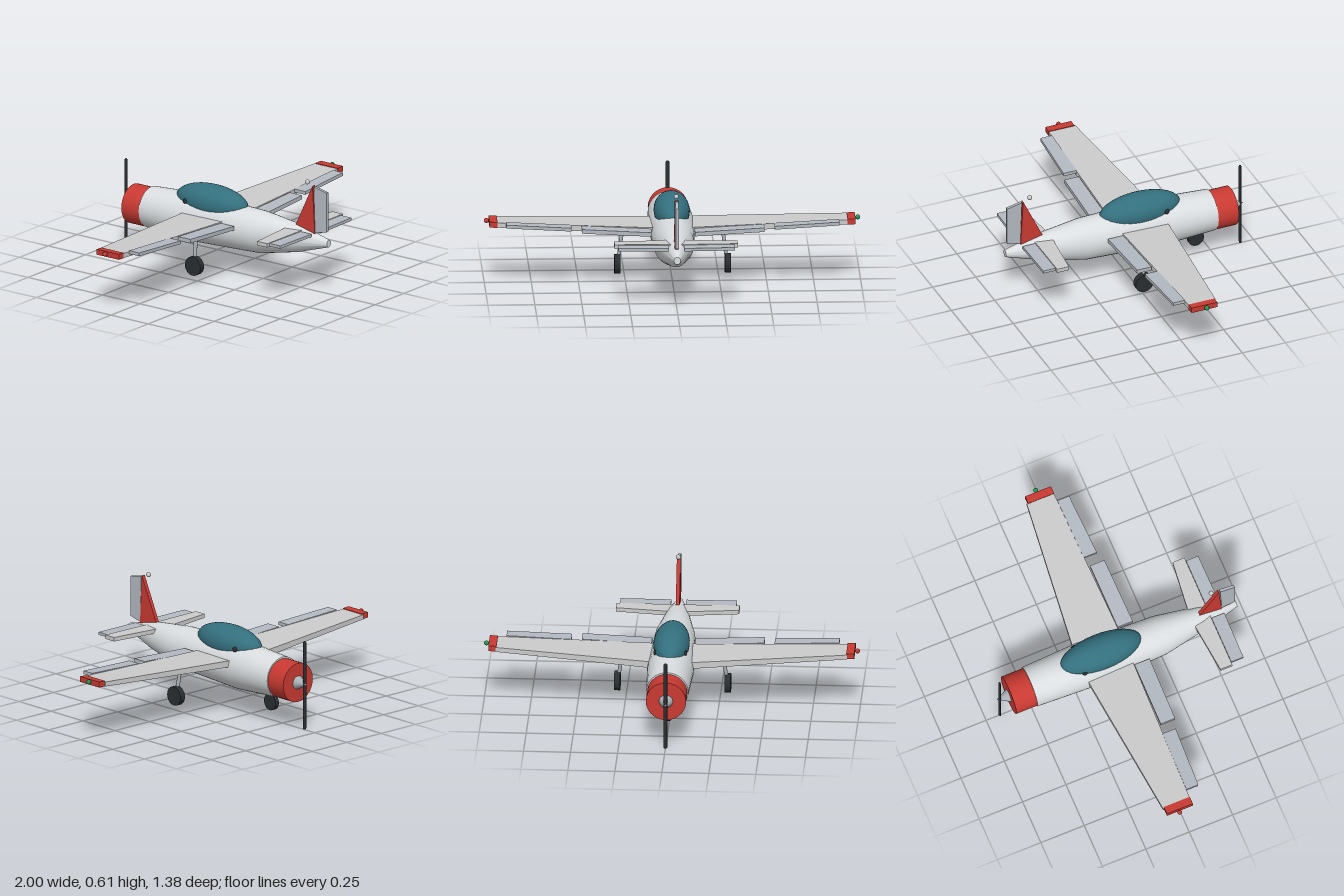
import * as THREE from 'three';
import { toCreasedNormals } from 'three/addons/utils/BufferGeometryUtils.js';

const paint = (color) => new THREE.MeshStandardMaterial({ color });
const MAT = {
  body: paint(0xdadee0), wing: paint(0xcccccc), flap: paint(0xb4bac2), metal: paint(0xa9b0b7),
  red: paint(0xc93a32), dark: paint(0x2a2e31), glass: paint(0x34707f), green: paint(0x1f9a50), white: paint(0xe8e8e8),
};

// Skin a row of closed cross-sections and cap both ends
function loft(rings) {
  const n = rings[0].length, idx = [];
  for (let r = 0; r < rings.length - 1; r++) {
    for (let i = 0; i < n; i++) {
      const a = r * n + i, b = r * n + (i + 1) % n;
      idx.push(a, b, b + n, a, b + n, a + n);
    }
  }
  const last = (rings.length - 1) * n;
  for (let i = 1; i < n - 1; i++) {
    idx.push(0, i + 1, i, last, last + i, last + i + 1);
  }
  const geo = new THREE.BufferGeometry();
  geo.setAttribute('position', new THREE.Float32BufferAttribute(rings.flat(2), 3));
  geo.setIndex(idx);
  return toCreasedNormals(geo, 0.6);
}

// Slab spanning two stations [x, yMid, thickness, zFront, zBack]; side is 1 or -1
function slab(stations, side) {
  return loft(stations.map(([x, y, t, z0, z1]) => {
    const ring = [[y - t / 2, z0], [y + t / 2, z0], [y + t / 2, z1], [y - t / 2, z1]]
      .map(([py, pz]) => [side * x, py, pz]);
    return side < 0 ? ring.reverse() : ring;
  }));
}

// Upright plate from [z, y] outline points
function plate(points, t) {
  const shape = new THREE.Shape(points.map(([z, y]) => new THREE.Vector2(z, y)));
  return new THREE.ExtrudeGeometry(shape, { depth: t, bevelEnabled: false })
    .rotateY(-Math.PI / 2).translate(t / 2, 0, 0);
}

function rod(from, to, radius) {
  const a = new THREE.Vector3(...from), b = new THREE.Vector3(...to), d = b.clone().sub(a);
  const geo = new THREE.CylinderGeometry(radius, radius, d.length(), 12);
  geo.applyQuaternion(new THREE.Quaternion().setFromUnitVectors(new THREE.Vector3(0, 1, 0), d.normalize()));
  const mid = a.add(b).multiplyScalar(0.5);
  return geo.translate(mid.x, mid.y, mid.z);
}

const ball = (r, x, y, z) => new THREE.SphereGeometry(r, 16, 12).translate(x, y, z);
const wheel = (r, w, x, y, z) =>
  new THREE.CylinderGeometry(r, r, w, 28).rotateZ(Math.PI / 2).translate(x, y, z);

export function createModel() {
  const model = new THREE.Group();
  model.name = 'airplane';
  const add = (name, geo, mat) => {
    const mesh = new THREE.Mesh(geo, mat);
    mesh.name = name;
    model.add(mesh);
    return mesh;
  };

  // Fuselage: elliptical sections [z, yCentre, halfWidth, halfHeight]
  const sections = [
    [-0.5, 0.254, 0.112, 0.112], [-0.2, 0.255, 0.124, 0.131], [0.25, 0.259, 0.107, 0.115],
    [0.49, 0.272, 0.064, 0.076], [0.69, 0.28, 0.018, 0.02],
  ];
  add('fuselage', loft(sections.map(([z, y, rx, ry]) =>
    Array.from({ length: 32 }, (_, i) => {
      const a = (i / 32) * Math.PI * 2;
      return [rx * Math.cos(a), y + ry * Math.sin(a), z];
    }))), MAT.body);

  // Nose: cowling, spinner and two-bladed propeller
  add('cowling', new THREE.CylinderGeometry(0.107, 0.107, 0.14, 28)
    .rotateX(Math.PI / 2).translate(0, 0.25, -0.55), MAT.red);
  add('spinner', new THREE.ConeGeometry(0.037, 0.07, 20)
    .rotateX(-Math.PI / 2).translate(0, 0.25, -0.655), MAT.metal);
  add('propeller', new THREE.CapsuleGeometry(0.011, 0.468, 4, 10)
    .scale(1, 1, 0.6).translate(0, 0.245, -0.672), MAT.dark);

  // Bubble canopy
  add('canopy', new THREE.SphereGeometry(1, 32, 20)
    .scale(0.096, 0.094, 0.231).translate(0, 0.363, -0.09), MAT.glass);

  for (const s of [1, -1]) {
    const side = s > 0 ? 'left' : 'right';

    // Wing, red tip and navigation light
    add(side + 'Wing', slab([[0.06, 0.285, 0.036, -0.213, 0.055], [0.935, 0.32, 0.025, -0.124, 0.031]], s), MAT.wing);
    add(side + 'WingTip', slab([[0.93, 0.321, 0.03, -0.117, 0.032], [0.973, 0.323, 0.03, -0.117, 0.032]], s), MAT.red);
    add(side + 'WingLight', ball(0.013, s * 0.987, 0.327, -0.05), s > 0 ? MAT.green : MAT.red);

    // Trailing edge surfaces
    add(side + 'Flap', slab([[0.115, 0.288, 0.022, 0.056, 0.143], [0.485, 0.307, 0.022, 0.052, 0.135]], s), MAT.flap);
    add(side + 'Aileron', slab([[0.54, 0.312, 0.018, 0.039, 0.115], [0.885, 0.328, 0.018, 0.032, 0.1]], s), MAT.flap);

    // Tailplane and elevator
    add(side + 'Tailplane', slab([[0, 0.318, 0.024, 0.427, 0.53], [0.328, 0.321, 0.022, 0.462, 0.53]], s), MAT.wing);
    add(side + 'Elevator', slab([[0.04, 0.319, 0.016, 0.532, 0.605], [0.31, 0.321, 0.016, 0.532, 0.602]], s), MAT.flap);

    // Main landing gear
    add(side + 'GearStrut', rod([s * 0.268, 0.27, 0.005], [s * 0.291, 0.1, 0.015], 0.01), MAT.metal);
    add(side + 'MainWheel', wheel(0.052, 0.032, s * 0.294, 0.1, 0.015), MAT.dark);

    // Small round fairing beside the windscreen
    add(side + 'CanopyKnob', ball(0.017, s * 0.073, 0.36, -0.212), MAT.dark);
  }

  // Nose gear
  add('noseStrut', rod([0, 0.2, -0.41], [0, 0.1, -0.413], 0.009), MAT.metal);
  add('noseWheel', wheel(0.045, 0.024, 0, 0.1, -0.413), MAT.dark);

  // Fin, rudder and tail light
  add('fin', plate([[0.47, 0.335], [0.603, 0.32], [0.588, 0.585]], 0.02), MAT.red);
  add('rudder', plate([[0.604, 0.325], [0.68, 0.343], [0.68, 0.562], [0.595, 0.58]], 0.016), MAT.flap);
  add('tailLight', ball(0.013, 0, 0.596, 0.546), MAT.white);

  return model;
}
